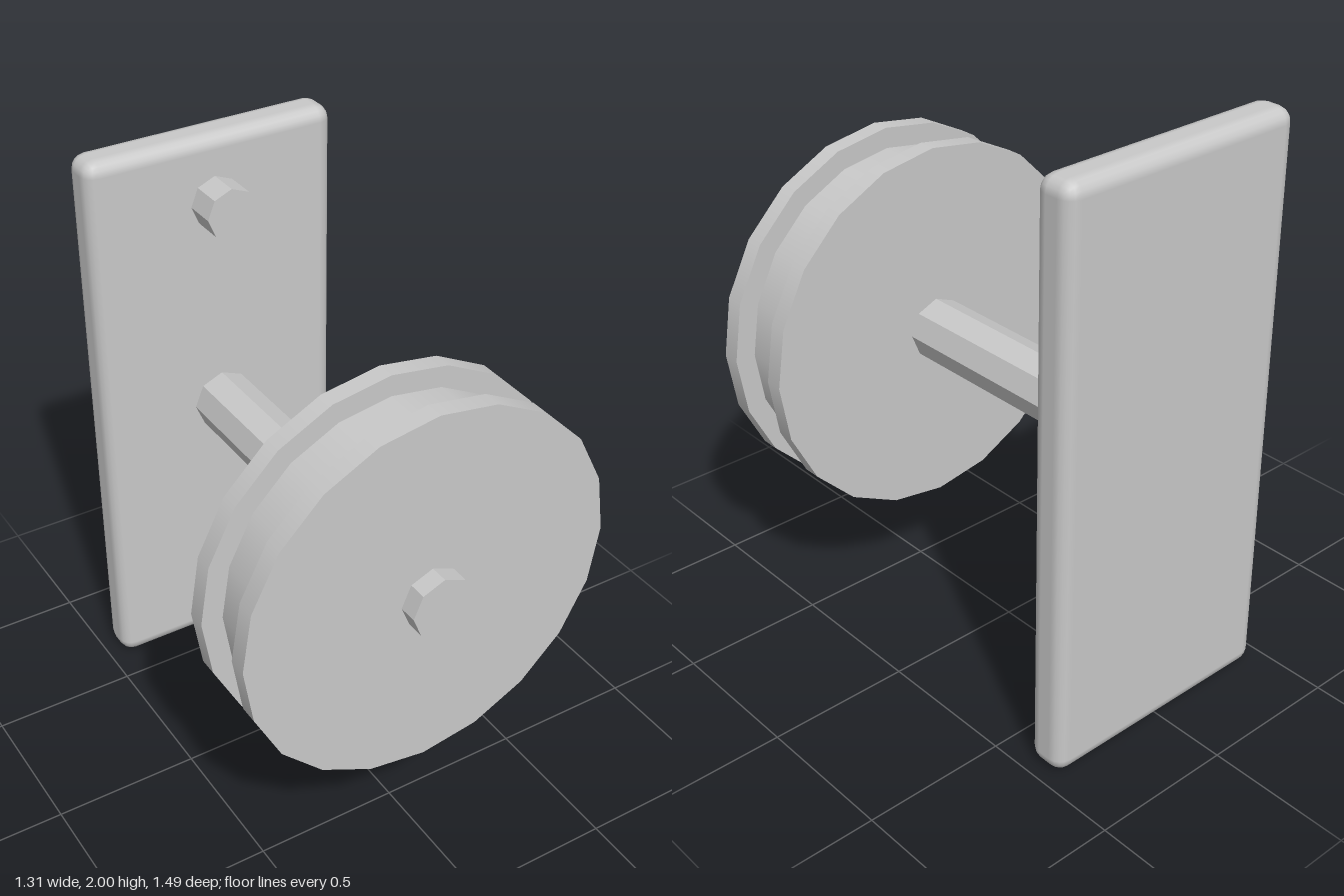
import * as THREE from 'three';
import { RoundedBoxGeometry } from 'three/addons/geometries/RoundedBoxGeometry.js';

export function createModel() {
  const model = new THREE.Group();
  model.name = 'wallMountedPulley';
  const grey = new THREE.MeshStandardMaterial({ color: 0xc8c8c8 });
  grey.name = 'grey';

  // Cylinder along z between two depths; faceted ones get flat sides
  function rod(name, radius, sides, y, zBack, zFront, faceted) {
    let geometry = new THREE.CylinderGeometry(radius, radius, zFront - zBack, sides);
    geometry.rotateX(Math.PI / 2);
    if (faceted) {
      geometry = geometry.toNonIndexed();
      geometry.computeVertexNormals();
    }
    const mesh = new THREE.Mesh(geometry, grey);
    mesh.name = name;
    mesh.position.set(0, y, (zBack + zFront) / 2);
    model.add(mesh);
  }

  // Wall plate with softened edges
  const plate = new THREE.Mesh(new RoundedBoxGeometry(0.904, 2, 0.143, 2, 0.05), grey);
  plate.name = 'wallPlate';
  plate.position.set(0, 1, -0.6735);
  model.add(plate);

  // Bolt heads near the top and bottom of the plate
  rod('upperBolt', 0.09, 8, 1.77, -0.62, -0.49, true);
  rod('lowerBolt', 0.09, 8, 0.24, -0.62, -0.49, true);

  // Axle from the plate through the wheel
  rod('axle', 0.108, 8, 1.003, -0.62, 0.745, true);

  // Grooved wheel: a drum between two flanges
  rod('backFlange', 0.654, 20, 1.003, 0.373, 0.436, false);
  rod('drum', 0.582, 20, 1.003, 0.43, 0.625, false);
  rod('frontFlange', 0.654, 20, 1.003, 0.618, 0.682, false);

  return model;
}
